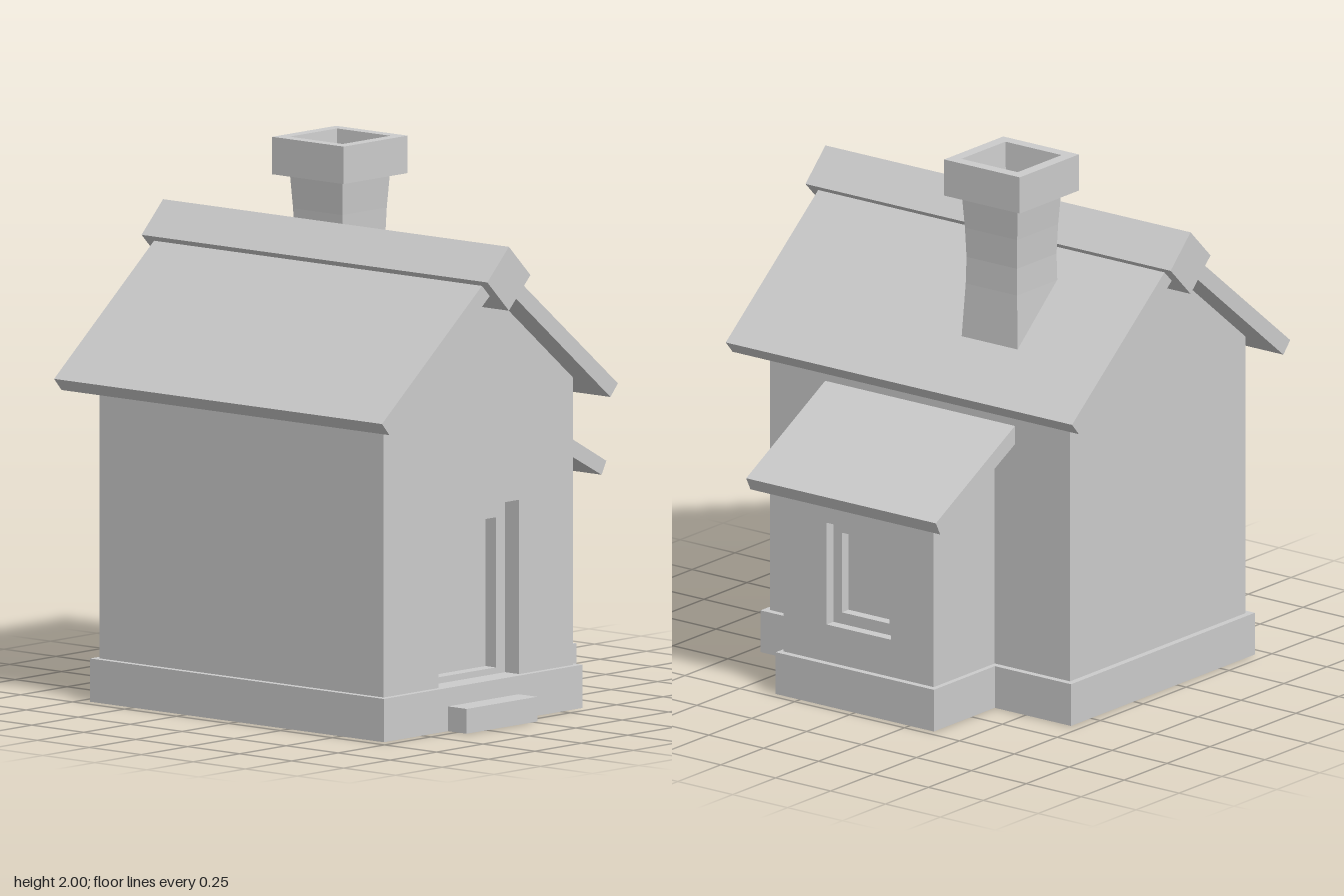
import * as THREE from 'three';

const material = new THREE.MeshStandardMaterial({ color: 0xcccccc, flatShading: true });

const shapeOf = (points) => new THREE.Shape(points.map(([x, y]) => new THREE.Vector2(x, y)));

const rect = (x0, x1, y0, y1) => [[x0, y0], [x1, y0], [x1, y1], [x0, y1]];

// Extrudes an outline from depth d0 to d1, with an optional opening
function slab(points, d0, d1, hole) {
  const shape = shapeOf(points);
  if (hole) shape.holes.push(shapeOf(hole));
  return new THREE.ExtrudeGeometry(shape, { depth: d1 - d0, bevelEnabled: false }).translate(0, 0, d0);
}

export function createModel() {
  const model = new THREE.Group();
  const add = (name, geometry, parent = model) => {
    const mesh = new THREE.Mesh(geometry, material);
    mesh.name = name;
    parent.add(mesh);
    return mesh;
  };
  const group = (name) => {
    const g = new THREE.Group();
    g.name = name;
    model.add(g);
    return g;
  };

  const ridgeX = -0.17; // the main house is symmetric about this line

  // Plinth following the main house and the side annex
  const plinth = [
    [-0.705, -0.707], [0.365, -0.707], [0.365, -0.36], [0.72, -0.36],
    [0.72, 0.36], [0.365, 0.36], [0.365, 0.707], [-0.705, 0.707],
  ];
  add('plinth', slab(plinth, 0, 0.157).rotateX(-Math.PI / 2));

  // Front step
  add('doorStep', new THREE.BoxGeometry(0.38, 0.09, 0.15).translate(-0.17, 0.045, 0.722));

  // Gabled walls; the doorway is two stepped layers in front of the door
  const gable = [[-0.68, 0.1], [0.34, 0.1], [0.34, 1.205], [ridgeX, 1.625], [-0.68, 1.205]];
  const house = group('house');
  add('houseWalls', slab(gable, -0.683, 0.565), house);
  add('doorFrame', slab(gable, 0.565, 0.615, rect(-0.345, 0, 0.18, 0.725)), house);
  add('frontWall', slab(gable, 0.615, 0.683, rect(-0.385, 0.05, 0.12, 0.79)), house);

  // Main roof: one folded slab
  const halfRoof = [[0.635, 1.175], [0.595, 1.13]];
  const roof = [
    [ridgeX, 1.693],
    ...halfRoof.map(([x, y]) => [ridgeX + x, y]),
    [ridgeX, 1.617],
    ...halfRoof.slice().reverse().map(([x, y]) => [ridgeX - x, y]),
  ];
  add('mainRoof', slab(roof, -0.79, 0.787));

  // Square ridge beam standing on its edge
  const d = 0.116;
  add('ridgeBeam', slab(
    [[ridgeX, 1.633 - d], [ridgeX + d, 1.633], [ridgeX, 1.633 + d], [ridgeX - d, 1.633]],
    -0.833, 0.83));

  // Annex body, then stepped window layers on its end wall
  const annex = group('annex');
  add('annexWalls', slab([[0.3, 0.1], [0.615, 0.1], [0.615, 0.875], [0.34, 1.02], [0.3, 1.02]], -0.34, 0.343), annex);
  const endWall = (top) => rect(-0.343, 0.34, 0.1, top);
  add('windowFrame', slab(endWall(0.865), 0.615, 0.655, rect(-0.11, 0.107, 0.34, 0.64)).rotateY(Math.PI / 2), annex);
  add('annexEndWall', slab(endWall(0.845), 0.655, 0.695, rect(-0.148, 0.145, 0.297, 0.68)).rotateY(Math.PI / 2), annex);

  // Annex lean-to roof
  add('annexRoof', slab([[0.335, 1.003], [0.775, 0.77], [0.8, 0.818], [0.335, 1.072]], -0.432, 0.432), annex);

  // Square chimney: waisted shaft, cap and hollow flue as [half width, height]
  const chimney = [
    [0.135, 1.18], [0.127, 1.34], [0.117, 1.53], [0.115, 1.63], [0.119, 1.74], [0.127, 1.864],
    [0.172, 1.864], [0.172, 2], [0.128, 2], [0.106, 1.72], [0, 1.72],
  ].map(([w, y]) => new THREE.Vector2(w * Math.SQRT2, y));
  add('chimney', new THREE.LatheGeometry(chimney, 4, Math.PI / 4).translate(0.145, 0, -0.264));

  return model;
}
